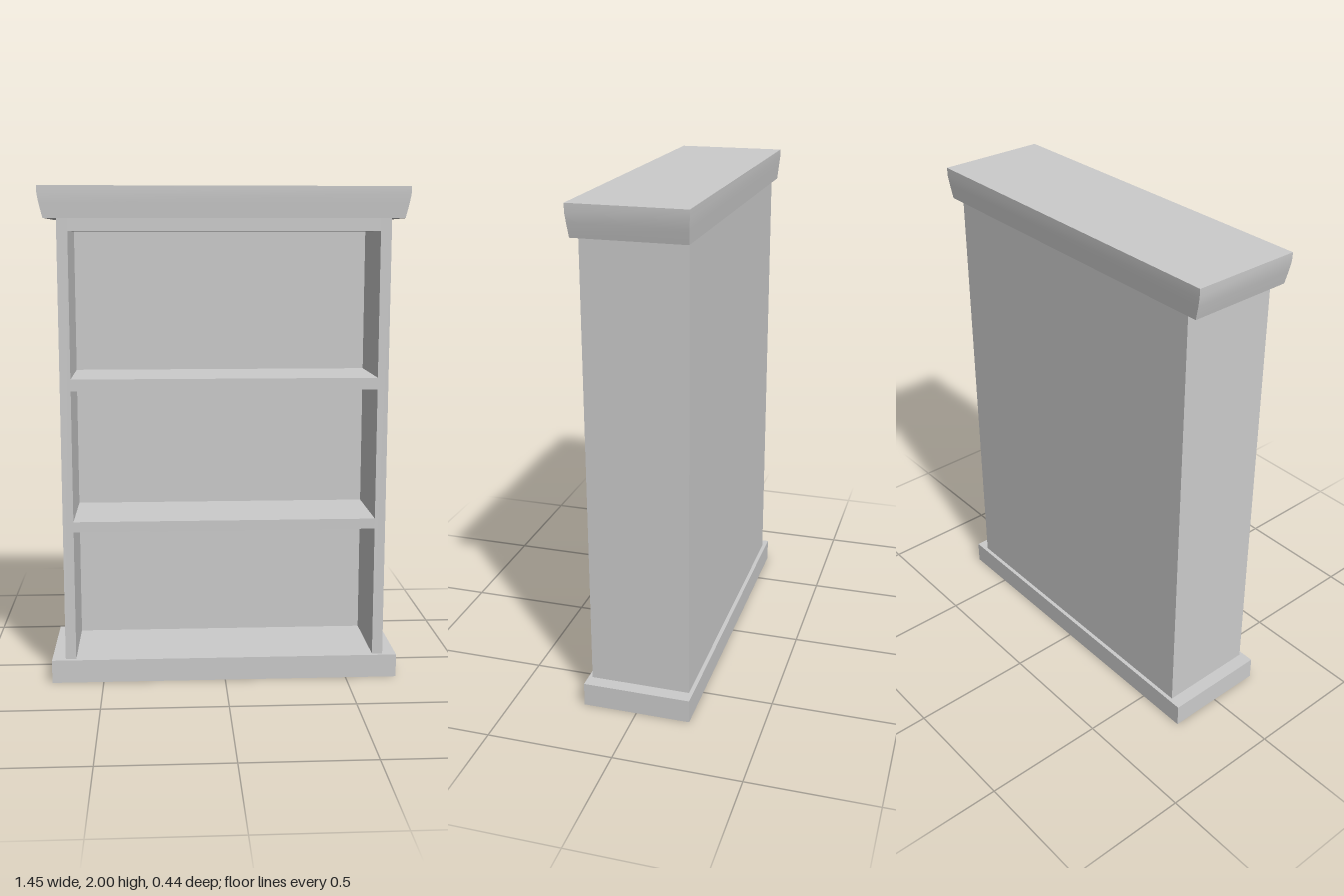
import * as THREE from 'three';
import { toCreasedNormals } from 'three/addons/utils/BufferGeometryUtils.js';

const material = new THREE.MeshStandardMaterial({ color: 0xcccccc });

// Box given by its limits on each axis
function addBox(group, name, [x0, x1], [y0, y1], [z0, z1]) {
  const mesh = new THREE.Mesh(new THREE.BoxGeometry(x1 - x0, y1 - y0, z1 - z0), material);
  mesh.position.set((x0 + x1) / 2, (y0 + y1) / 2, (z0 + z1) / 2);
  mesh.name = name;
  group.add(mesh);
}

// Closed solid from stacked rectangles [halfWidth, y, halfDepth], bottom to top
function stackedRectangles(rings) {
  const positions = [], index = [];
  for (const [w, y, d] of rings) positions.push(-w, y, d, w, y, d, w, y, -d, -w, y, -d);
  for (let r = 0; r < rings.length - 1; r++) {
    for (let i = 0; i < 4; i++) {
      const a = r * 4 + i, b = r * 4 + (i + 1) % 4;
      index.push(a, b, b + 4, a, b + 4, a + 4);
    }
  }
  const t = (rings.length - 1) * 4;
  index.push(0, 2, 1, 0, 3, 2, t, t + 1, t + 2, t, t + 2, t + 3);
  const geometry = new THREE.BufferGeometry();
  geometry.setAttribute('position', new THREE.Float32BufferAttribute(positions, 3));
  geometry.setIndex(index);
  return toCreasedNormals(geometry, Math.PI / 6);
}

export function createModel() {
  const group = new THREE.Group();
  group.name = 'bookcase';

  const outer = 0.655, inner = 0.612;
  const front = 0.2, backInside = -0.157;
  const baseTop = 0.095, crownBottom = 1.877;

  // Plinth
  addBox(group, 'base', [-0.71, 0.71], [0, baseTop], [-0.216, 0.216]);

  // Carcass
  for (const [name, s] of [['leftSide', 1], ['rightSide', -1]]) {
    const xs = [s * inner, s * outer].sort((a, b) => a - b);
    addBox(group, name, xs, [baseTop, crownBottom], [-front, front]);
  }
  addBox(group, 'backPanel', [-inner, inner], [baseTop, crownBottom], [-front, backInside]);

  // Two shelves and the top rail
  const boards = [['lowerShelf', 0.629, 0.671], ['upperShelf', 1.202, 1.249], ['topBoard', 1.828, crownBottom]];
  for (const [name, y0, y1] of boards) {
    addBox(group, name, [-inner, inner], [y0, y1], [backInside, front]);
  }

  // Flared crown moulding
  const crown = new THREE.Mesh(stackedRectangles([
    [0.705, crownBottom, 0.214],
    [0.718, 1.93, 0.218],
    [0.725, 1.968, 0.221],
    [0.726, 2, 0.221],
  ]), material);
  crown.name = 'crown';
  group.add(crown);

  return group;
}
